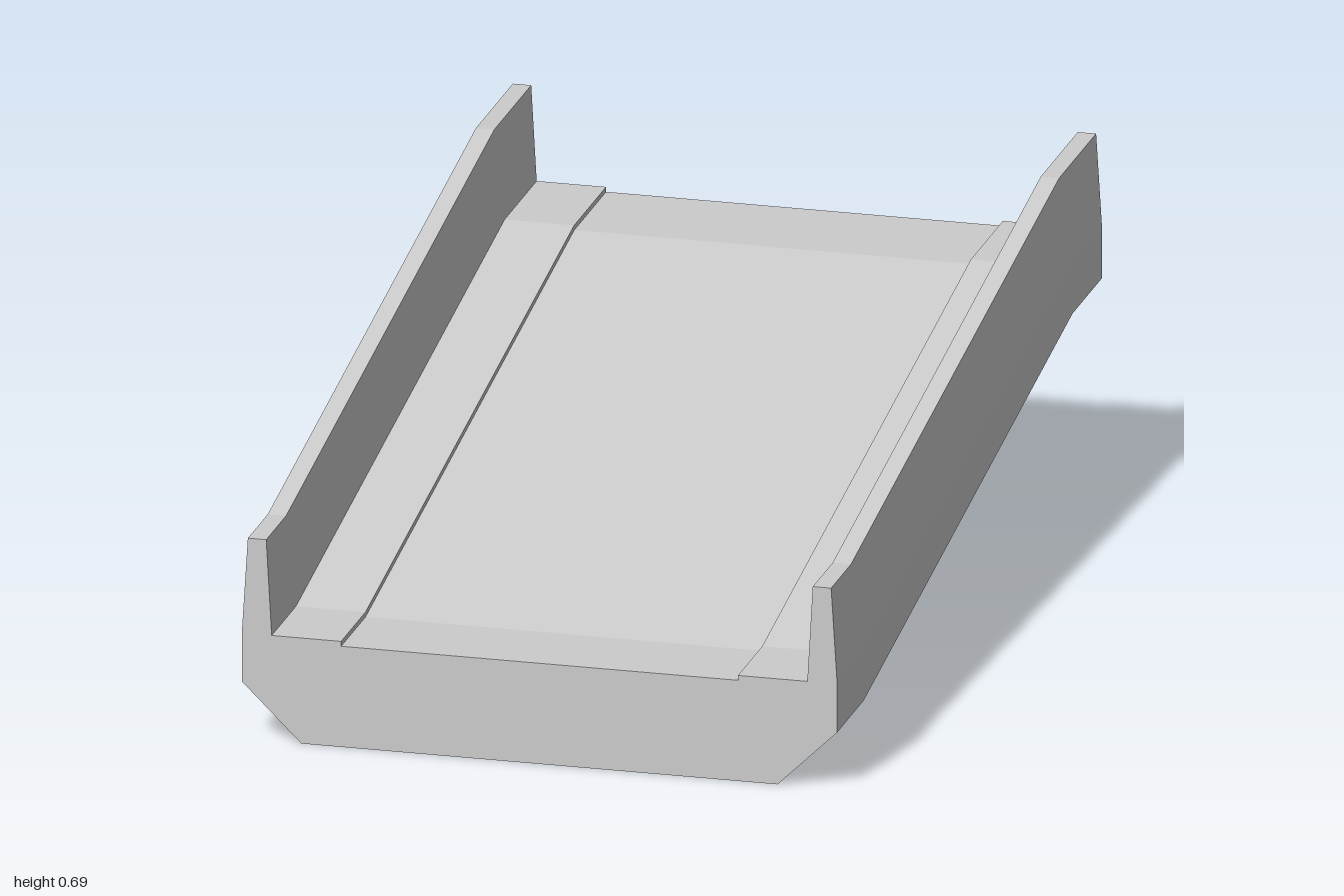
import * as THREE from 'three';

const LIFT = 0.28; // rise of the back landing above the front one

// Right half of the trough cross-section, from the underside up to the deck
const HALF = [
  [0.48, 0], [0.6, 0.117], [0.6, 0.22], [0.588, 0.413], [0.551, 0.413],
  [0.54, 0.217], [0.4, 0.217], [0.4, 0.207],
];

// Stations along the ramp: back end, back bend, front bend, front end.
// The bends are mitred, so their z depends on the height in the section.
const STATIONS = [
  () => [-1, LIFT],
  (y) => [-0.8 + 0.19 * y, LIFT],
  (y) => [0.78 + 0.17 * y, 0],
  () => [1, 0],
];

export function createModel() {
  const group = new THREE.Group();
  group.name = 'ramp';

  const mirrored = HALF.map(([x, y]) => [-x, y]).reverse();
  const shape = new THREE.Shape([...HALF, ...mirrored].map(([x, y]) => new THREE.Vector2(x, y)));

  // Extrude in three steps, then move each ring to its station
  const geometry = new THREE.ExtrudeGeometry(shape, { depth: 3, steps: 3, bevelEnabled: false });
  const pos = geometry.attributes.position;
  for (let i = 0; i < pos.count; i++) {
    const y = pos.getY(i);
    const [z, rise] = STATIONS[Math.round(pos.getZ(i))](y);
    pos.setY(i, y + rise);
    pos.setZ(i, z);
  }
  geometry.computeVertexNormals();

  const material = new THREE.MeshStandardMaterial({ color: 0xcccccc, flatShading: true });
  const ramp = new THREE.Mesh(geometry, material);
  ramp.name = 'rampDeckWithSideWalls';
  group.add(ramp);
  return group;
}
